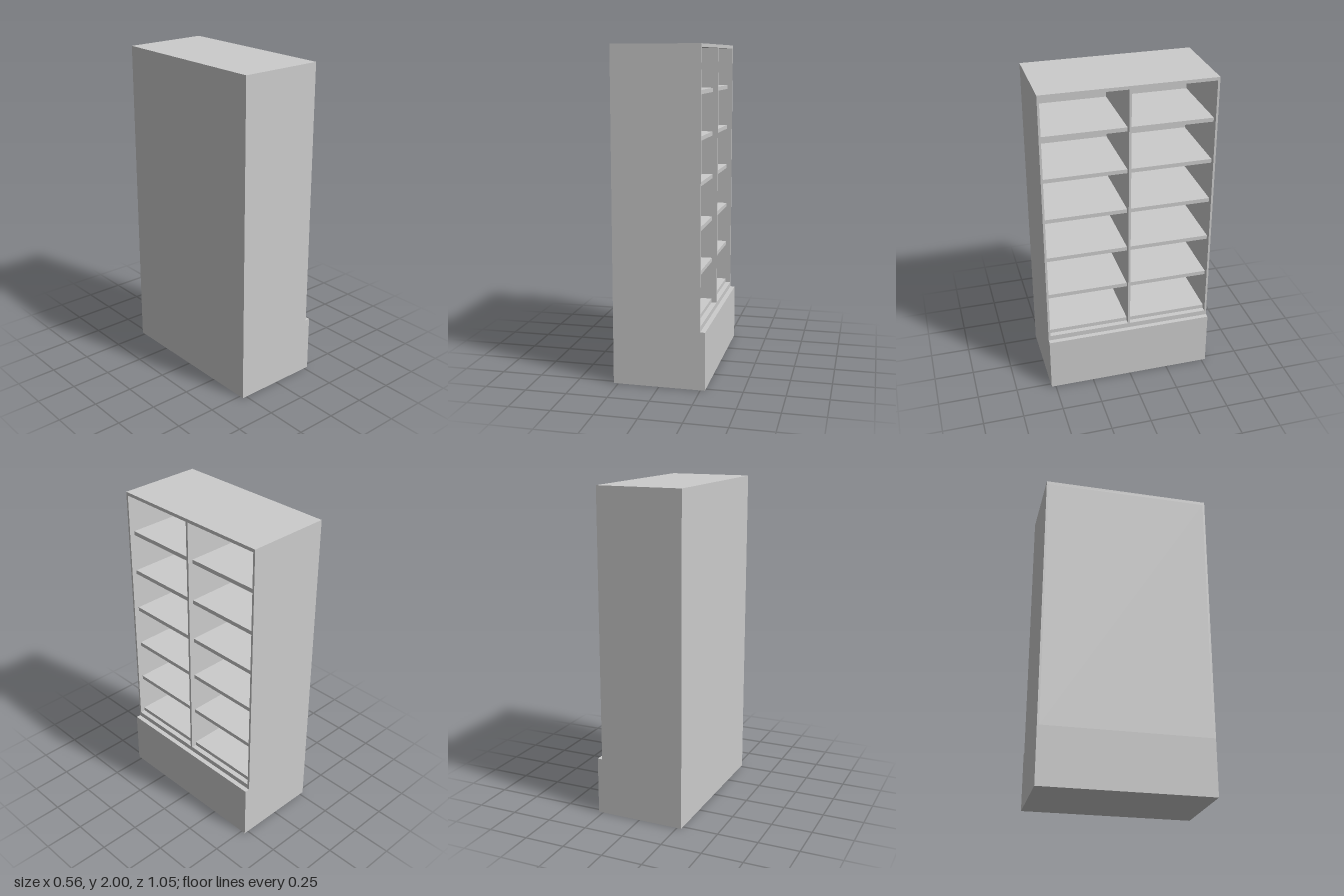
import * as THREE from 'three';

export function createModel() {
  const group = new THREE.Group();
  group.name = 'bookcase';
  const material = new THREE.MeshStandardMaterial({ color: 0xcccccc });

  // Box given by its minimum and maximum on each axis
  const board = (name, x0, x1, y0, y1, z0, z1) => {
    const mesh = new THREE.Mesh(new THREE.BoxGeometry(x1 - x0, y1 - y0, z1 - z0), material);
    mesh.position.set((x0 + x1) / 2, (y0 + y1) / 2, (z0 + z1) / 2);
    mesh.name = name;
    group.add(mesh);
  };

  const back = -0.278, front = 0.248, baseFront = 0.278;
  const halfWidth = 0.527, inner = 0.514, halfDivider = 0.007;
  const baseTop = 0.353, floorTop = 0.385, ceiling = 1.98, backInner = back + 0.013;

  // Closed plinth, projecting slightly past the open front
  board('base', back, baseFront, 0, baseTop, -halfWidth, halfWidth);

  // Carcass
  board('bottomBoard', backInner, front, baseTop, floorTop, -inner, inner);
  board('topBoard', back, front, ceiling, 2, -halfWidth, halfWidth);
  board('backPanel', back, backInner, baseTop, ceiling, -inner, inner);
  board('divider', backInner, front, floorTop, ceiling, -halfDivider, halfDivider);

  for (const [label, s] of [['left', -1], ['right', 1]]) {
    const span = (a, b) => [Math.min(s * a, s * b), Math.max(s * a, s * b)];
    board(label + 'SidePanel', back, front, baseTop, ceiling, ...span(inner, halfWidth));

    // Six evenly spaced shelves, set back from the front edge
    for (let i = 0; i < 6; i++) {
      const y = floorTop + i * 0.266;
      board(label + 'Shelf' + (i + 1), backInner, front - 0.032, y, y + 0.025, ...span(halfDivider, inner));
    }
  }
  return group;
}
